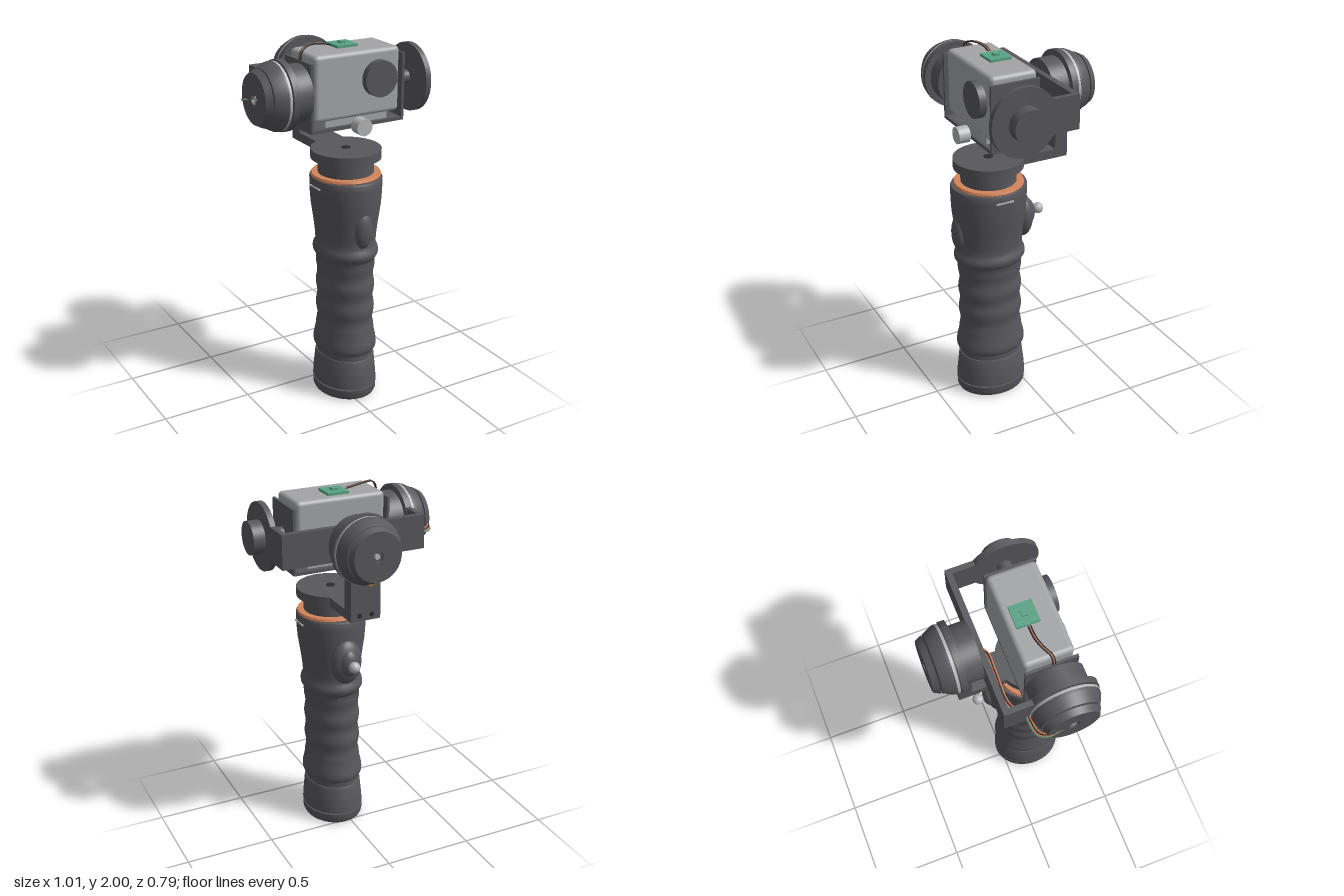
import * as THREE from 'three';
import { toCreasedNormals } from 'three/addons/utils/BufferGeometryUtils.js';
import { RoundedBoxGeometry } from 'three/addons/geometries/RoundedBoxGeometry.js';

const CX = 0.035, CZ = 0.17, AXIS_Y = 1.765;

export function createModel() {
  const mat = (name, color) => {
    const m = new THREE.MeshStandardMaterial({ color });
    m.name = name;
    return m;
  };
  const dark = mat('dark plastic', 0x57575c);
  const body = mat('camera grey', 0xa3a4a6);
  const silver = mat('silver', 0xb4b5b6);
  const copper = mat('copper', 0xd2845a);
  const green = mat('green', 0x56a284);
  const black = mat('black', 0x2c2c2f);

  const model = new THREE.Group();
  const add = (name, geo, material, pos = [0, 0, 0], parent = model) => {
    const mesh = new THREE.Mesh(geo, material);
    mesh.name = name;
    mesh.position.set(...pos);
    parent.add(mesh);
    return mesh;
  };
  // box from min and max corners
  const box = (name, a, b, material) => add(name,
    new THREE.BoxGeometry(b[0] - a[0], b[1] - a[1], b[2] - a[2]), material,
    a.map((v, i) => (v + b[i]) / 2));
  // turned solid from [radius, height] pairs
  const turned = (pts, seg = 48) => new THREE.LatheGeometry(
    pts.map(([r, y]) => new THREE.Vector2(r, y)), seg);
  const crisp = (geo) => toCreasedNormals(geo, 0.6);
  const cyl = (r, h) => new THREE.CylinderGeometry(r, r, h, 48);
  const ellipsoid = (x, y, z) => new THREE.SphereGeometry(1, 32, 20).scale(x, y, z);
  // cylinder along an axis between two coordinates
  const rod = (name, axis, r, from, to, center, material) => {
    const geo = cyl(r, to - from);
    if (axis === 'x') geo.rotateZ(-Math.PI / 2);
    if (axis === 'z') geo.rotateX(Math.PI / 2);
    const pos = [...center];
    pos['xyz'.indexOf(axis)] = (from + to) / 2;
    return add(name, geo, material, pos);
  };

  // Handle: oval turned sections, deeper than wide
  const oval = (geo) => {
    const p = geo.attributes.position;
    for (let i = 0; i < p.count; i++) {
      const t = THREE.MathUtils.smoothstep(p.getY(i), 0.9, 1.25);
      p.setZ(i, p.getZ(i) * (1.18 - 0.08 * t));
    }
    return crisp(geo);
  };
  add('handleEndCap', oval(turned([[0, 0], [0.15, 0], [0.163, 0.006], [0.169, 0.02],
    [0.17, 0.062], [0, 0.062]])), dark, [CX, 0, CZ]);
  add('handleCore', cyl(0.06, 0.04), dark, [CX, 0.065, CZ]);
  add('handleBase', oval(turned([[0, 0.07], [0.17, 0.07], [0.168, 0.11], [0.157, 0.225],
    [0.153, 0.235], [0, 0.235]])), dark, [CX, 0, CZ]);
  const grip = [[0.148, 0.23], [0.148, 0.265], [0.158, 0.27], [0.166, 0.285], [0.168, 0.305],
    [0.165, 0.33], [0.157, 0.365]];
  for (let i = 0; i <= 20; i++) {
    const y = 0.39 + i * 0.02;
    grip.push([0.15 + 0.004 * Math.cos((y - 0.39) * Math.PI * 2 / 0.133), y]);
  }
  grip.push([0.153, 0.82], [0.161, 0.835], [0.169, 0.85], [0.17, 0.865], [0.168, 0.88],
    [0.16, 0.895], [0.156, 0.91], [0.158, 0.95], [0.165, 1.01], [0.174, 1.07], [0.183, 1.13],
    [0.188, 1.19], [0.19, 1.24], [0.19, 1.275], [0.186, 1.283], [0, 1.283]);
  add('handleGrip', oval(turned(grip)), dark, [CX, 0, CZ]);
  for (const s of [-1, 1]) {
    box('sideMark', [CX + s * 0.19 - 0.004, 1.235, CZ - 0.05],
      [CX + s * 0.19 + 0.004, 1.243, CZ + 0.05], silver);
  }

  // Controls on the handle
  add('frontButton', ellipsoid(0.053, 0.105, 0.04), dark, [CX, 1.02, 0.35]);
  add('joystickBase', ellipsoid(0.09, 0.13, 0.06), dark, [CX, 1.045, -0.025]);
  add('joystickDome', ellipsoid(0.055, 0.08, 0.045), dark, [CX, 1.05, -0.06]);
  rod('joystickStem', 'z', 0.014, -0.13, -0.09, [CX, 1.055, 0], silver);
  add('joystickBall', ellipsoid(0.031, 0.031, 0.031), silver, [CX, 1.055, -0.132]);

  // Collar, neck and yaw plate
  add('copperRing', crisp(turned([[0.15, 1.28], [0.184, 1.28], [0.189, 1.288], [0.184, 1.3],
    [0.15, 1.3]])), copper, [CX, 0, CZ]);
  rod('neck', 'y', 0.15, 1.28, 1.385, [CX, 0, CZ], dark);
  rod('yawPlate', 'y', 0.189, 1.38, 1.43, [CX, 0, CZ], dark);
  rod('yawScrew', 'y', 0.025, 1.425, 1.433, [CX, 0, CZ], black);
  box('yawArm', [-0.05, 1.38, -0.26], [0.12, 1.43, CZ], dark);
  box('yawPost', [-0.05, 1.38, -0.26], [0.12, 1.61, -0.187], dark);
  for (const x of [0, 0.07]) rod('postScrew', 'z', 0.013, -0.263, -0.25, [x, 1.41, 0], black);

  // Motors, built along their own axis
  const makeMotor = (name) => {
    const g = new THREE.Group();
    g.name = name;
    const part = (n, pts, m) => add(n, crisp(turned(pts)), m, [0, 0, 0], g);
    part('motorHousing', [[0, 0], [0.15, 0], [0.15, 0.097], [0, 0.097]], dark);
    part('motorPlate', [[0, 0.095], [0.183, 0.095], [0.183, 0.128], [0, 0.128]], dark);
    part('motorNeck', [[0.165, 0.125], [0.165, 0.14]], dark);
    part('motorBand', [[0, 0.134], [0.177, 0.134], [0.177, 0.149], [0, 0.149]], silver);
    part('motorBell', [[0, 0.148], [0.178, 0.148], [0.176, 0.165], [0.15, 0.217], [0, 0.217]], dark);
    part('motorAxle', [[0.013, 0.21], [0.013, 0.23]], dark);
    part('motorCap', [[0, 0.225], [0.149, 0.225], [0.132, 0.258], [0.03, 0.258], [0.03, 0.24],
      [0, 0.24]], dark);
    part('motorHub', [[0.014, 0.238], [0.014, 0.252], [0, 0.252]], silver);
    model.add(g);
    return g;
  };
  const rear = makeMotor('rearMotor');
  rear.rotation.x = -Math.PI / 2;
  rear.position.set(CX, AXIS_Y, -0.136);
  const side = makeMotor('sideMotor');
  side.rotation.z = Math.PI / 2;
  side.position.set(-0.243, AXIS_Y, CZ);

  // U-shaped bracket carrying the camera axis
  box('bracketBack', [-0.37, 1.675, -0.137], [0.44, 1.86, -0.105], dark);
  box('bracketRightArm', [-0.37, 1.675, -0.137], [-0.34, 1.86, CZ], dark);
  box('bracketLeftArm', [0.41, 1.675, -0.137], [0.44, 1.86, CZ], dark);
  rod('pivotDisc', 'x', 0.183, 0.41, 0.44, [0, AXIS_Y, CZ], dark);
  rod('pivotKnob', 'x', 0.09, 0.44, 0.505, [0, AXIS_Y, CZ], dark);
  rod('pivotShaft', 'x', 0.038, 0.3, 0.41, [0, AXIS_Y, CZ - 0.005], dark);

  // Camera cradle with an open floor
  for (const [a, b] of [[-0.243, -0.228], [0.298, 0.313]]) {
    box('cradleSide', [a, 1.572, 0.02], [b, 1.93, 0.29], dark);
  }
  const floor = new THREE.Shape([[-0.243, 0.02], [0.313, 0.02], [0.313, 0.29], [-0.243, 0.29]]
    .map(([x, z]) => new THREE.Vector2(x, z)));
  floor.holes.push(new THREE.Path([[-0.15, 0.06], [-0.15, 0.13], [0.22, 0.13], [0.22, 0.06]]
    .map(([x, z]) => new THREE.Vector2(x, z))));
  add('cradleFloor', new THREE.ExtrudeGeometry(floor, { depth: 0.018, bevelEnabled: false })
    .rotateX(Math.PI / 2), dark, [0, 1.59, 0]);
  box('cameraFoot', [-0.15, 1.588, 0.05], [0.22, 1.625, 0.27], body);
  rod('clampKnob', 'z', 0.045, 0.29, 0.353, [CX, 1.585, 0], silver);

  // Camera
  add('cameraBody', new RoundedBoxGeometry(0.507, 0.345, 0.26, 4, 0.025), body,
    [0.037, 1.793, 0.15]);
  rod('lens', 'z', 0.095, 0.27, 0.32, [0.156, 1.815, 0], dark);
  box('sensorBoard', [-0.025, 1.963, 0.06], [0.095, 1.979, 0.18], green);
  box('sensorChip', [0.018, 1.975, 0.104], [0.052, 1.99, 0.136], green);

  // Cables: bundles of thin parallel strands
  const cable = (name, pts, mats, r, offset) => mats.forEach((m, i) => {
    const k = i - (mats.length - 1) / 2;
    const curve = new THREE.CatmullRomCurve3(pts.map(([x, y, z]) => new THREE.Vector3(
      x + offset[0] * k, y + offset[1] * k, z + offset[2] * k)));
    add(name, new THREE.TubeGeometry(curve, 48, r, 6), m);
  });
  cable('sensorCable', [[-0.035, 1.978, 0.12], [-0.1, 1.99, 0.12], [-0.16, 1.994, 0.135],
    [-0.21, 1.985, 0.16], [-0.232, 1.96, 0.165], [-0.236, 1.9, 0.165]],
    [black, copper, black], 0.004, [0, 0, 0.006]);
  cable('sideMotorCable', [[-0.495, 1.76, 0.12], [-0.498, 1.74, 0.045], [-0.47, 1.73, 0.0],
    [-0.4, 1.73, -0.015], [-0.335, 1.73, -0.018], [-0.315, 1.73, -0.06], [-0.27, 1.73, -0.083],
    [-0.1, 1.73, -0.082], [0.0, 1.73, -0.082], [0.035, 1.73, -0.105]],
    [green, copper, black, copper], 0.004, [0.002, 0.006, 0.005]);
  cable('rearMotorCable', [[CX, 1.66, -0.392], [CX, 1.625, -0.38], [CX, 1.602, -0.352],
    [CX, 1.592, -0.31], [CX, 1.586, -0.255]],
    [copper, green, copper], 0.004, [0.008, 0, 0]);

  return model;
}
